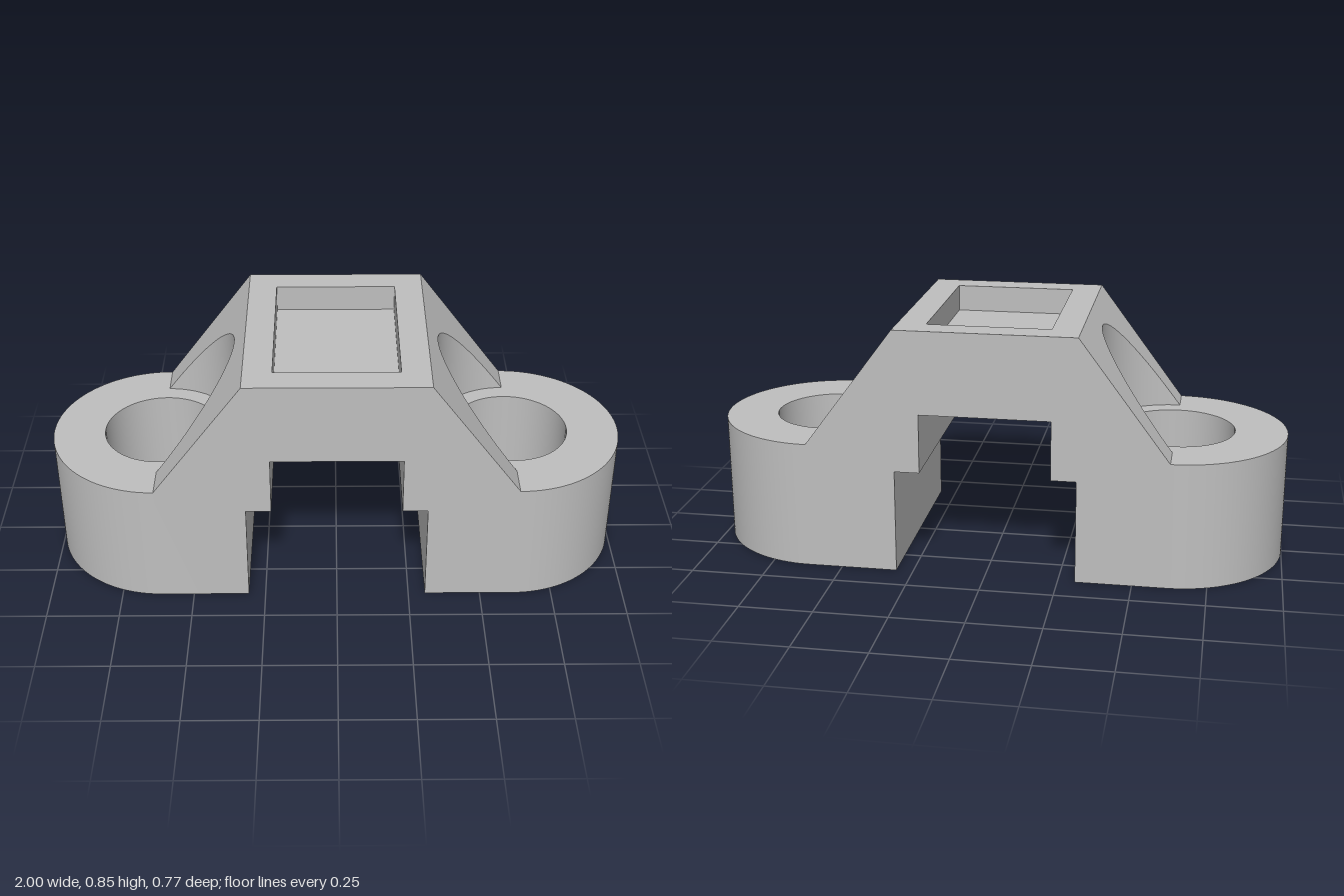
import * as THREE from 'three';
import { toCreasedNormals } from 'three/addons/utils/BufferGeometryUtils.js';

const HALF_DEPTH = 0.385;   // also the radius of the rounded ends
const HOLE_X = 0.615;       // bolt hole centre, and foot of the ramp
const HOLE_R = 0.204;
const RELIEF_R = 0.266;     // clearance cut in the ramp above the hole
const INNER_X = 0.308;      // inner wall of a foot, and top of the ramp
const FOOT_H = 0.44;
const TOP = 0.852;
const POCKET_FLOOR = 0.76;

// Extrude a plan drawn in x and z upwards from y0 to y1
function extrudeUp(shape, y0, y1) {
  return new THREE.ExtrudeGeometry(shape, { depth: y1 - y0, bevelEnabled: false, curveSegments: 40 })
    .rotateX(-Math.PI / 2)
    .translate(0, y0, 0);
}

function rectangle(PathType, x, z) {
  return new PathType([[-x, -z], [x, -z], [x, z], [-x, z]].map(([a, b]) => new THREE.Vector2(a, b)));
}

// Mounting lug with a rounded end and a through hole
function footGeometry() {
  const plan = new THREE.Shape();
  plan.moveTo(INNER_X, -HALF_DEPTH);
  plan.lineTo(HOLE_X, -HALF_DEPTH);
  plan.absarc(HOLE_X, 0, HALF_DEPTH, -Math.PI / 2, Math.PI / 2, false);
  plan.lineTo(INNER_X, HALF_DEPTH);
  plan.closePath();
  plan.holes.push(new THREE.Path().absarc(HOLE_X, 0, HOLE_R, 0, Math.PI * 2, true));
  return toCreasedNormals(extrudeUp(plan, 0, FOOT_H), 0.5);
}

// Sloping shoulder with a round relief: the upper cap is lowered onto the slope
function rampGeometry() {
  const plan = new THREE.Shape();
  plan.moveTo(INNER_X, -HALF_DEPTH);
  plan.lineTo(HOLE_X, -HALF_DEPTH);
  plan.lineTo(HOLE_X, -RELIEF_R);
  plan.absarc(HOLE_X, 0, RELIEF_R, -Math.PI / 2, Math.PI / 2, true);
  plan.lineTo(HOLE_X, HALF_DEPTH);
  plan.lineTo(INNER_X, HALF_DEPTH);
  plan.closePath();
  const geometry = extrudeUp(plan, FOOT_H, TOP);
  const p = geometry.attributes.position;
  for (let i = 0; i < p.count; i++) {
    if (p.getY(i) > FOOT_H + 0.01) {
      const t = (HOLE_X - p.getX(i)) / (HOLE_X - INNER_X);
      p.setY(i, FOOT_H + t * (TOP - FOOT_H));
    }
  }
  return toCreasedNormals(geometry, 0.5);
}

// Stepped arch below the pocket, extruded front to back
function archGeometry() {
  const profile = new THREE.Shape([
    [-INNER_X, 0.36], [-0.222, 0.36], [-0.222, 0.565], [0.222, 0.565], [0.222, 0.36],
    [INNER_X, 0.36], [INNER_X, POCKET_FLOOR], [-INNER_X, POCKET_FLOOR],
  ].map(([x, y]) => new THREE.Vector2(x, y)));
  return new THREE.ExtrudeGeometry(profile, { depth: 2 * HALF_DEPTH, bevelEnabled: false })
    .translate(0, 0, -HALF_DEPTH);
}

export function createModel() {
  const grey = new THREE.MeshStandardMaterial({ color: 0xbfbfbf });
  grey.name = 'plain grey';
  const model = new THREE.Group();
  model.name = 'saddleBracket';

  const add = (parent, name, geometry) => {
    const mesh = new THREE.Mesh(geometry, grey);
    mesh.name = name;
    parent.add(mesh);
  };

  // Bridge and the rim around its top pocket
  add(model, 'bridgeArch', archGeometry());
  const rim = rectangle(THREE.Shape, INNER_X, HALF_DEPTH);
  rim.holes.push(rectangle(THREE.Path, 0.21, 0.29));
  add(model, 'pocketRim', extrudeUp(rim, POCKET_FLOOR, TOP));

  // Matching lug and shoulder on each side
  const foot = footGeometry();
  const ramp = rampGeometry();
  for (const side of ['left', 'right']) {
    const half = new THREE.Group();
    half.name = side + 'Side';
    half.rotation.y = side === 'left' ? 0 : Math.PI;
    add(half, side + 'Foot', foot);
    add(half, side + 'Ramp', ramp);
    model.add(half);
  }
  return model;
}
